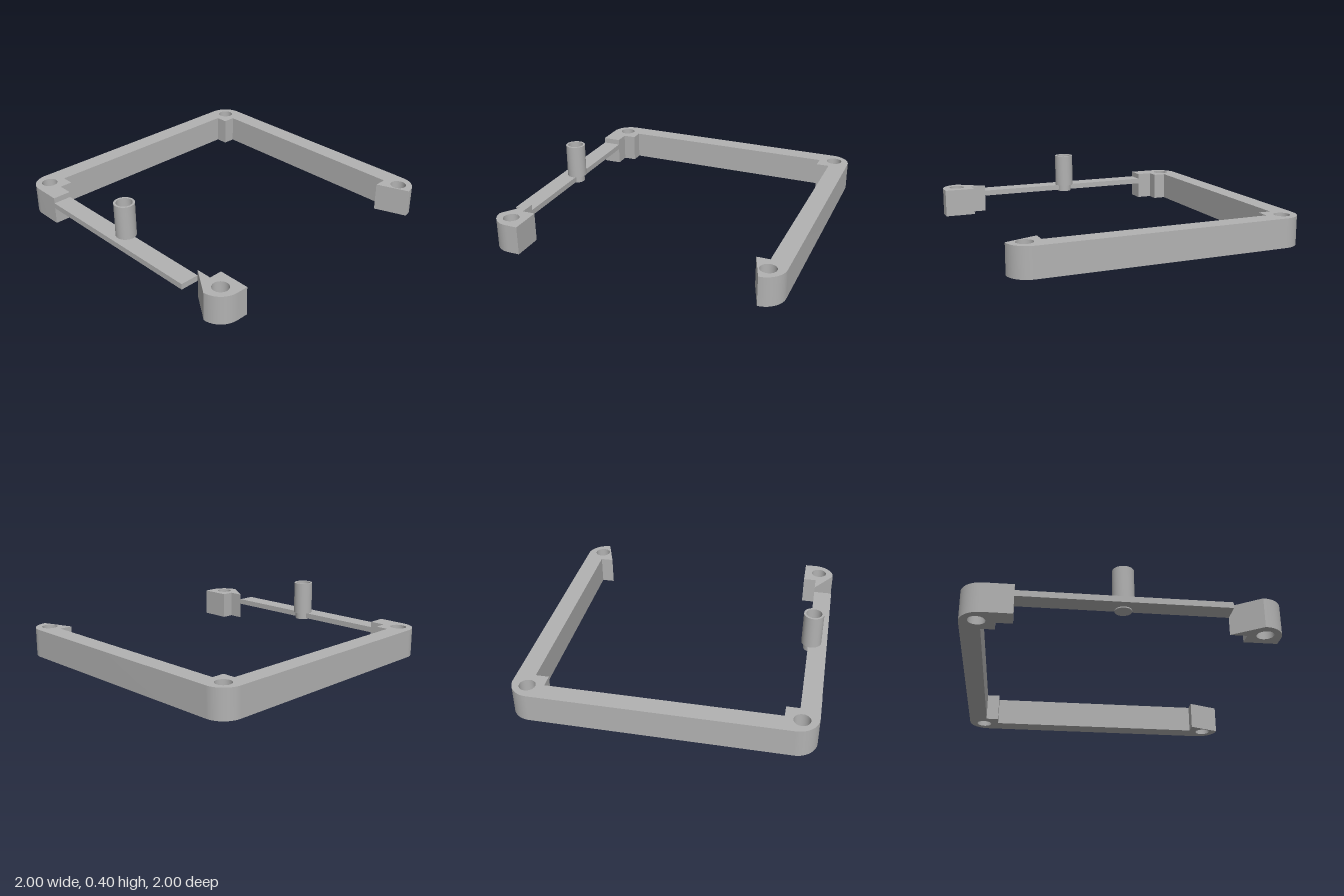
import * as THREE from 'three';
import { toCreasedNormals } from 'three/addons/utils/BufferGeometryUtils.js';

const H = 0.2;      // frame height
const R = 0.14;     // outer corner radius
const WALL = 0.87;  // inner face of the walls
const PAD = 0.78;   // inner face of the corner pads
const HOLE = 0.89;  // screw hole centre
const STUB = 0.67;  // where the front wall thins to a bar

export function createModel() {
  const group = new THREE.Group();
  const grey = new THREE.MeshStandardMaterial({ color: 0xb2b2b2 });
  grey.name = 'grey plastic';

  const add = (name, geometry, y = 0, z = 0) => {
    const mesh = new THREE.Mesh(geometry, grey);
    mesh.name = name;
    mesh.position.set(0, y, z);
    group.add(mesh);
  };

  // Plan outline (shape y is -z) raised to the given height
  const raise = (shape, height) => {
    const g = new THREE.ExtrudeGeometry(shape, { depth: height, bevelEnabled: false, curveSegments: 16 });
    g.rotateX(-Math.PI / 2);
    return toCreasedNormals(g, 0.6);
  };
  const drill = (shape, x, y, r) => {
    const hole = new THREE.Path();
    hole.absarc(x, y, r, 0, Math.PI * 2, true);
    shape.holes.push(hole);
  };

  // Back and right walls with three corner pads, in one piece
  const c = 1 - R;
  const frame = new THREE.Shape();
  frame.moveTo(1, PAD);
  frame.absarc(c, c, R, 0, Math.PI / 2, false);
  frame.absarc(-c, c, R, Math.PI / 2, Math.PI, false);
  frame.absarc(-c, -c, R, Math.PI, Math.PI * 1.5, false);
  for (const [x, y] of [
    [-STUB, -1], [-STUB, -WALL], [-PAD, -WALL], [-PAD, -PAD], [-WALL, -PAD],
    [-WALL, PAD], [-PAD, PAD], [-PAD, WALL], [PAD, WALL], [PAD, PAD],
  ]) frame.lineTo(x, y);
  frame.closePath();
  for (const [sx, sy] of [[1, 1], [-1, 1], [-1, -1]]) drill(frame, sx * HOLE, sy * HOLE, 0.055);
  add('frame', raise(frame, H));

  // Free-standing front left corner
  const corner = new THREE.Shape();
  corner.moveTo(STUB, -1);
  corner.absarc(c, -c, R, -Math.PI / 2, 0, false);
  for (const [x, y] of [[1, -PAD], [PAD, -PAD], [PAD, -WALL], [STUB, -WALL]]) corner.lineTo(x, y);
  corner.closePath();
  drill(corner, HOLE, -HOLE, 0.055);
  add('frontLeftCorner', raise(corner, H));

  // Thin bar bridging the front
  add('frontBar', new THREE.BoxGeometry(STUB * 2, 0.04, 1 - WALL), 0.14, (1 + WALL) / 2);

  // Hollow post and the plug closing its foot
  const ring = new THREE.Shape();
  ring.absarc(0, 0, 0.07, 0, Math.PI * 2, false);
  drill(ring, 0, 0, 0.055);
  add('post', raise(ring, 0.24), 0.16, HOLE);
  add('postPlug', new THREE.CylinderGeometry(0.055, 0.055, 0.055, 32), 0.1395, HOLE);

  return group;
}
